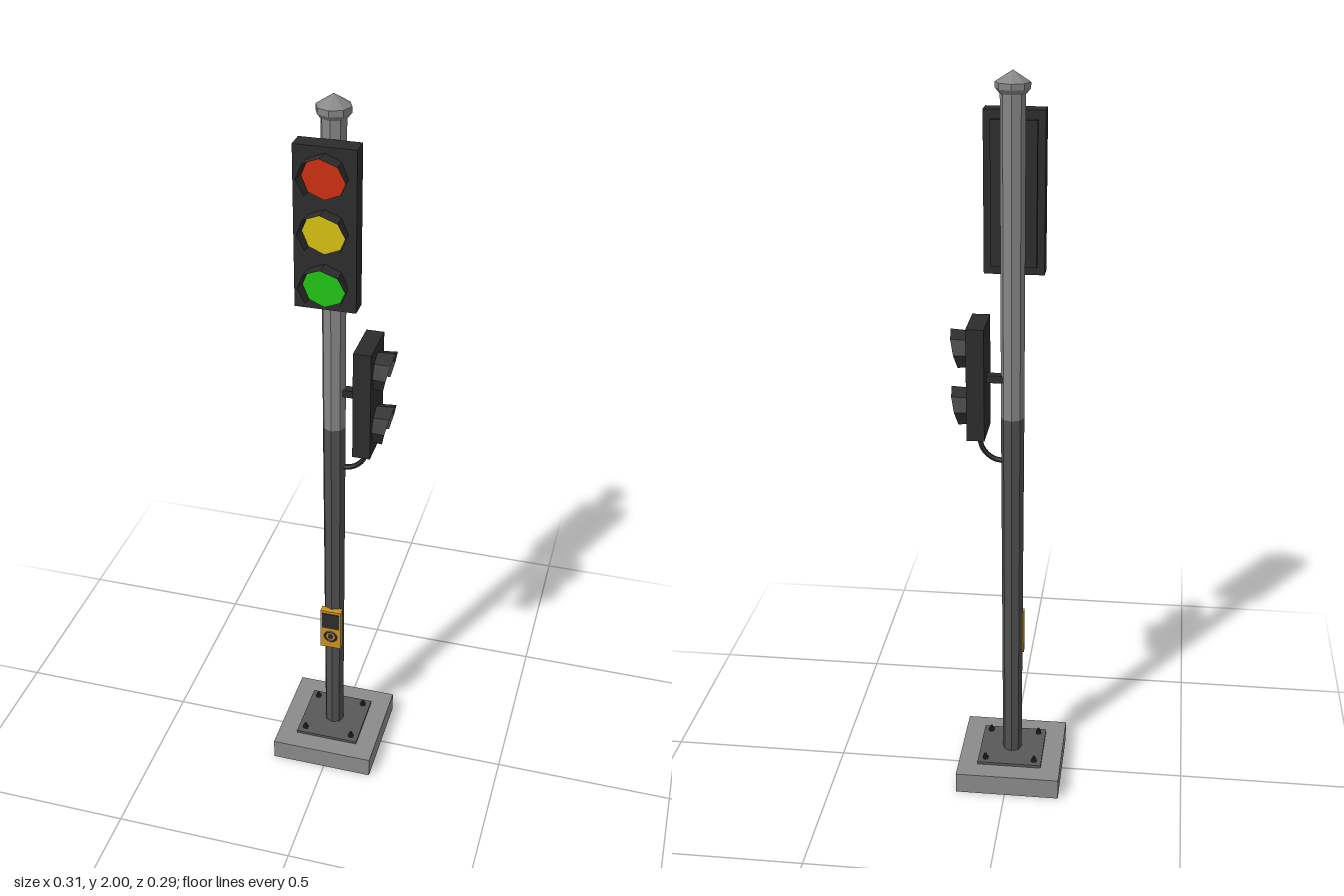
import * as THREE from 'three';

const mat = (name, color, extra = {}) =>
  new THREE.MeshStandardMaterial({ name, color, flatShading: true, ...extra });

export function createModel() {
  const both = { side: THREE.DoubleSide };
  const M = {
    concrete: mat('concrete', 0x8a8a8a, both),
    plate: mat('plate grey', 0x585858),
    lowerPole: mat('dark pole grey', 0x505050),
    metal: mat('light pole grey', 0x868686),
    housing: mat('housing black', 0x2c2c2c, both),
    red: mat('red', 0xcc3010),
    yellow: mat('yellow', 0xd6c010),
    green: mat('green', 0x20c414),
    orange: mat('button orange', 0xc8921c),
  };
  const model = new THREE.Group();
  model.name = 'trafficLight';
  const post = new THREE.Group();
  post.name = 'post';
  post.position.x = -0.007;
  model.add(post);

  const add = (parent, name, geometry, material, x = 0, y = 0, z = 0) => {
    const mesh = new THREE.Mesh(geometry, material);
    mesh.name = name;
    mesh.position.set(x, y, z);
    parent.add(mesh);
    return mesh;
  };
  const box = (w, h, d) => new THREE.BoxGeometry(w, h, d);
  const lathe = (pts) =>
    new THREE.LatheGeometry(pts.map(([r, y]) => new THREE.Vector2(r, y)), 8);

  // Hollow base, open underneath
  const r = 0.146 * Math.SQRT2;
  add(post, 'baseWalls', new THREE.CylinderGeometry(r, r, 0.06, 4, 1, true).rotateY(Math.PI / 4),
    M.concrete, 0, 0.03, 0);
  add(post, 'baseTop', new THREE.PlaneGeometry(0.292, 0.292).rotateX(-Math.PI / 2),
    M.concrete, 0, 0.06, 0);
  add(post, 'basePlate', box(0.182, 0.01, 0.182), M.plate, 0, 0.063, 0);
  for (const x of [-0.07, 0.07])
    for (const z of [-0.07, 0.07]) {
      add(post, 'bolt', new THREE.CylinderGeometry(0.004, 0.004, 0.02, 8), M.housing, x, 0.074, z);
      add(post, 'nut', new THREE.CylinderGeometry(0.0085, 0.0085, 0.008, 6), M.housing, x, 0.071, z);
    }

  // Two-tone pole and pointed cap
  add(post, 'lowerPole', new THREE.CylinderGeometry(0.031, 0.027, 1.085, 8), M.lowerPole, 0, 0.5625, 0);
  add(post, 'upperPole', new THREE.CylinderGeometry(0.032, 0.031, 0.85, 8), M.metal, 0, 1.53, 0);
  add(post, 'cap', lathe([[0, 1.945], [0.034, 1.945], [0.044, 1.957], [0.044, 1.972], [0, 2]]), M.metal);

  // Hood: an open arc, longer at the top, with a gap at the bottom
  const hood = (radius) => {
    const pos = [], index = [];
    for (let i = 0; i <= 6; i++) {
      const a = (i - 3) * Math.PI / 4;
      const s = Math.sin(a), c = Math.cos(a), ro = radius * 1.06;
      pos.push(radius * s, radius * c, 0, ro * s, ro * c, 0.034 + 0.013 * c);
      if (i < 6) {
        const k = i * 2;
        index.push(k, k + 1, k + 2, k + 1, k + 3, k + 2);
      }
    }
    const g = new THREE.BufferGeometry();
    g.setAttribute('position', new THREE.Float32BufferAttribute(pos, 3));
    g.setIndex(index);
    g.computeVertexNormals();
    return g;
  };

  // Signal head facing +z, front face at z = front
  const signal = (name, w, h, d, cy, front, radius, lenses) => {
    const head = new THREE.Group();
    head.name = name;
    add(head, 'housing', box(w, h, d), M.housing, 0, cy, front - d / 2);
    for (const [color, y] of lenses) {
      add(head, color + 'Lens', new THREE.CircleGeometry(radius, 8).rotateZ(Math.PI / 2),
        M[color], 0, y, front + 0.004);
      add(head, color + 'Hood', hood(radius * 1.03), M.housing, 0, y, front);
    }
    post.add(head);
    return head;
  };

  const main = signal('vehicleSignal', 0.156, 0.415, 0.05, 1.693, 0.08, 0.056,
    [['red', 1.828], ['yellow', 1.69], ['green', 1.55]]);
  add(main, 'backPanel', box(0.118, 0.37, 0.016), M.housing, 0, 1.693, 0.023);

  const walk = signal('pedestrianSignal', 0.133, 0.305, 0.047, 1.2125, 0.114, 0.05,
    [['red', 1.29], ['green', 1.132]]);
  walk.rotation.y = Math.PI / 2;
  add(walk, 'bracket', box(0.025, 0.02, 0.05), M.housing, 0, 1.213, 0.047);

  // Cable looping from the pole into the pedestrian signal
  const path = new THREE.CatmullRomCurve3([
    [0.02, 0.978], [0.052, 0.985], [0.08, 1.012], [0.091, 1.065],
  ].map(([x, y]) => new THREE.Vector3(x, y, 0)));
  add(post, 'cable', new THREE.TubeGeometry(path, 10, 0.007, 6), M.housing);

  // Push-button box with dark upper panel and round button
  add(post, 'buttonBox', box(0.06, 0.13, 0.022), M.orange, 0, 0.44, 0.031);
  add(post, 'buttonPanel', box(0.05, 0.052, 0.004), M.housing, 0, 0.471, 0.042);
  add(post, 'buttonRing', new THREE.TorusGeometry(0.017, 0.003, 4, 12), M.housing, 0, 0.415, 0.042);
  add(post, 'button', new THREE.CylinderGeometry(0.008, 0.008, 0.005, 8).rotateX(Math.PI / 2),
    M.housing, 0, 0.415, 0.042);

  return model;
}
